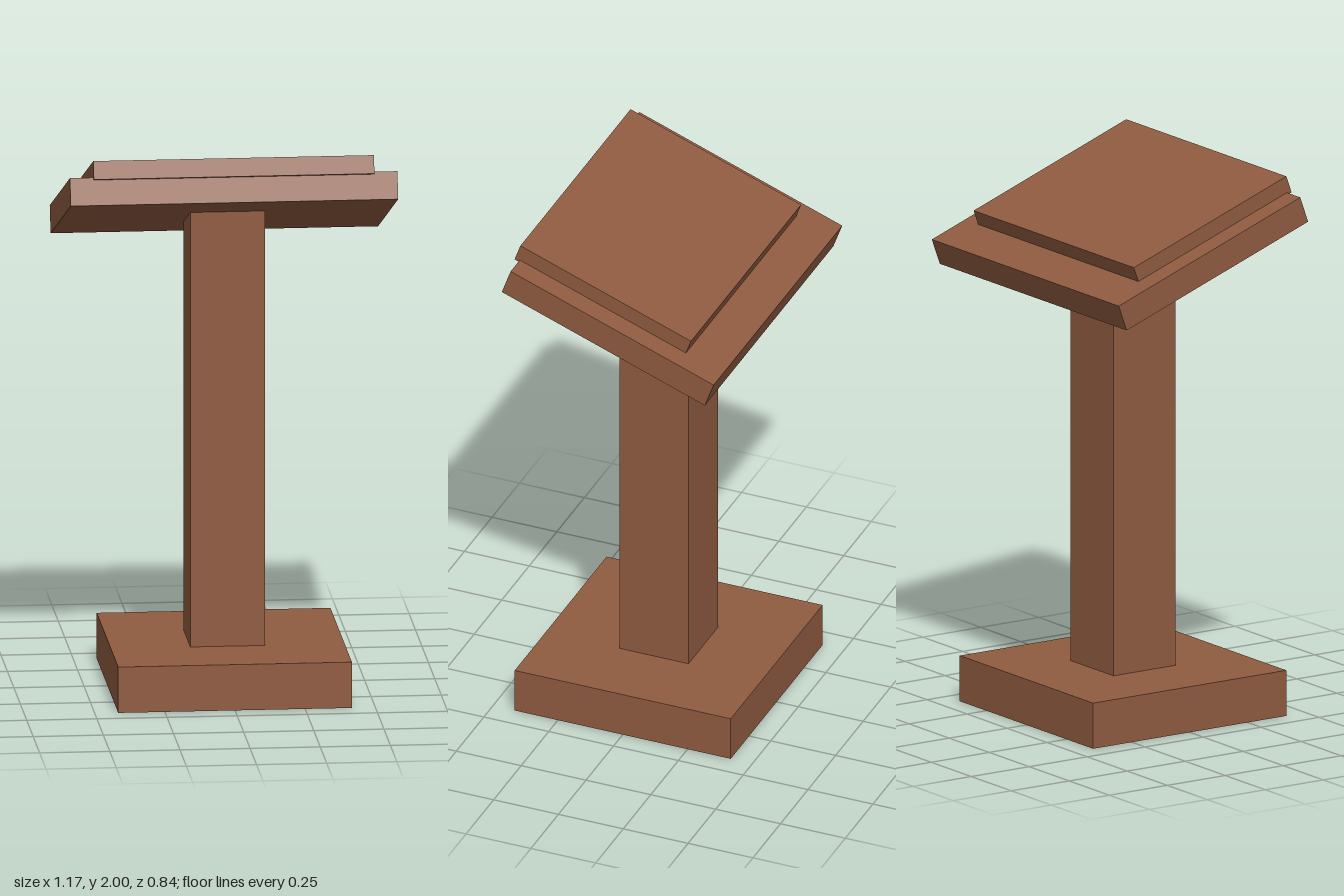
import * as THREE from 'three';

export function createModel() {
  const group = new THREE.Group();
  group.name = 'lectern';
  const wood = new THREE.MeshStandardMaterial({ color: 0x8f5b40 });
  wood.name = 'brown wood';

  function box(name, parent, size, position) {
    const mesh = new THREE.Mesh(new THREE.BoxGeometry(...size), wood);
    mesh.name = name;
    mesh.position.set(...position);
    parent.add(mesh);
    return mesh;
  }

  // Square foot and post; the post ends inside the sloping desk
  box('base', group, [0.833, 0.167, 0.833], [0, 0.0835, 0]);
  box('post', group, [0.267, 1.588, 0.267], [0, 0.961, 0]);

  // Sloping desk, high at the front and low at the back
  const desk = new THREE.Group();
  desk.name = 'desk';
  desk.position.set(0, 1.752, -0.013);
  desk.rotation.x = -THREE.MathUtils.degToRad(20);
  group.add(desk);
  box('deskBoard', desk, [1.167, 0.1, 0.833], [0, 0, 0]);
  box('readingPlate', desk, [1, 0.066, 0.7], [0, 0.074, 0.085]);

  return group;
}
